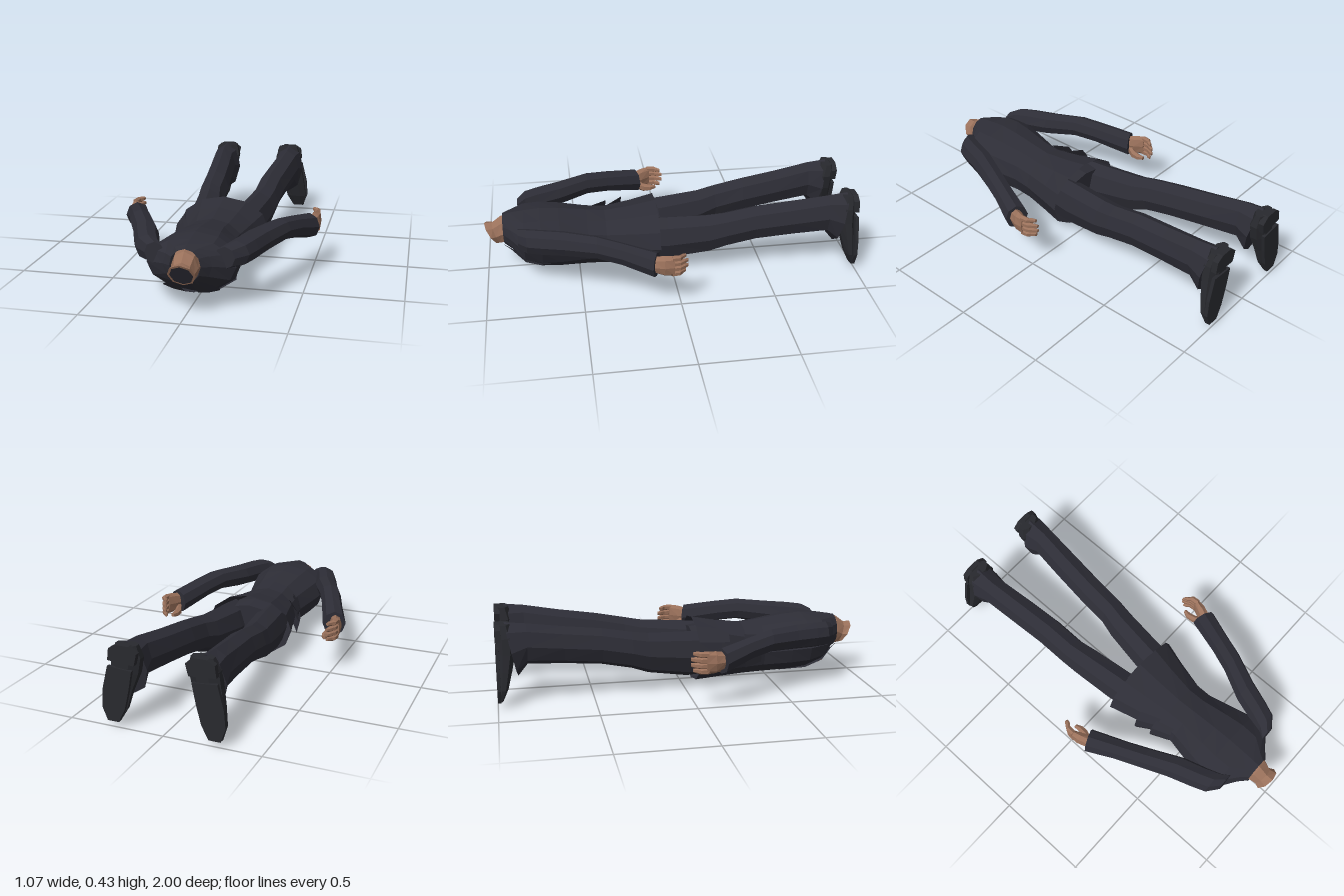
import * as THREE from 'three';

const mat = (name, color) => {
  const m = new THREE.MeshStandardMaterial({ color, flatShading: true, side: THREE.DoubleSide });
  m.name = name;
  return m;
};

// Skin a list of point rows; rows may be closed loops with capped ends
function skin(rows, closed, capStart, capEnd) {
  const n = rows[0].length, pos = rows.flat(2), idx = [];
  for (let r = 0; r + 1 < rows.length; r++)
    for (let i = 0; i < (closed ? n : n - 1); i++) {
      const a = r * n + i, b = r * n + (i + 1) % n;
      idx.push(a, b, a + n, b, b + n, a + n);
    }
  const last = (rows.length - 1) * n;
  for (let i = 1; i + 1 < n; i++) {
    if (capStart) idx.push(0, i + 1, i);
    if (capEnd) idx.push(last, last + i, last + i + 1);
  }
  // Turn the faces outward
  const v = i => new THREE.Vector3(...pos.slice(i * 3, i * 3 + 3));
  let vol = 0;
  if (closed) for (let i = 0; i < idx.length; i += 3) vol += v(idx[i]).dot(v(idx[i + 1]).cross(v(idx[i + 2])));
  if (vol < 0) idx.reverse();
  const g = new THREE.BufferGeometry();
  g.setAttribute('position', new THREE.Float32BufferAttribute(pos, 3));
  g.setIndex(idx);
  g.computeVertexNormals();
  return g;
}

// Ring: [x, y, z, halfWidth, halfHeight, zTilt over height, zTilt over width]
const ringZ = (s, n) => ([x, y, z, a, b, ty = 0, tx = 0]) => Array.from({ length: n }, (_, i) => {
  const t = (i / n) * Math.PI * 2 + Math.PI / 2, c = Math.cos(t), q = Math.sin(t);
  return [s * (x + a * c), y + b * q, z + ty * q + tx * c];
});
// Ring lying flat, for parts that run up and down
const ringY = (s, n) => ([x, y, z, a, b]) => Array.from({ length: n }, (_, i) => {
  const t = ((i + 0.5) / n) * Math.PI * 2;
  return [s * (x + a * Math.cos(t)), y, z + b * Math.sin(t)];
});

// Jacket sections: z, half width, back y, chest y
const BODY = [
  [0.9, 0.075, 0.333, 0.165], [0.86, 0.12, 0.342, 0.14], [0.79, 0.22, 0.35, 0.09],
  [0.7, 0.225, 0.357, 0.052], [0.6, 0.205, 0.35, 0.036], [0.45, 0.17, 0.328, 0.027],
  [0.35, 0.172, 0.315, 0.024], [0.2, 0.21, 0.333, 0.017], [0.07, 0.248, 0.357, 0.01],
];
function surf(z, deg, off = 0) {
  let i = 0;
  while (i < BODY.length - 2 && z < BODY[i + 1][0]) i++;
  const A = BODY[i], B = BODY[i + 1], k = (A[0] - z) / (A[0] - B[0]);
  const [, w, top, bot] = A.map((v, j) => v + (B[j] - v) * k);
  const t = deg * Math.PI / 180;
  return [(w + off) * Math.cos(t), (top + bot) / 2 + ((top - bot) / 2 + off) * Math.sin(t), z];
}

export function createModel() {
  const root = new THREE.Group();
  const suit = mat('dark suit', 0x2d2d36);
  const shoe = mat('shoe black', 0x28292e);
  const flesh = mat('skin', 0x9a715b);
  const add = (name, geo, m) => {
    const mesh = new THREE.Mesh(geo, m);
    mesh.name = name;
    root.add(mesh);
  };
  const loft = (name, m, s, n, rings, c0 = true, c1 = true, ring = ringZ) =>
    add(name, skin(rings.map(ring(s, n)), true, c0, c1), m);
  const panel = (name, m, rows) => add(name, skin(rows.map(r => r.map(p => surf(...p))), false), m);

  // Jacket body, open at the hem and collar
  const turn = Array.from({ length: 12 }, (_, i) => i * 30);
  add('jacket', skin(BODY.map(r => turn.map(d => surf(r[0], d))), true), suit);

  // Overlapping front panel and lapels
  panel('leftFrontPanel', suit, BODY.slice(3).map(r => [-90, -60, -30].map(d => [r[0], d, 0.007])));
  for (const s of [-1, 1])
    panel('lapel', suit, [[0.9, 20, 45], [0.86, 15, 42], [0.79, 8, 38], [0.7, 2, 30], [0.58, 0, 4]]
      .map(([z, a, b]) => [a, (a + b) / 2, b].map(d => [z, -90 + s * d, 0.011])));
  panel('pocketSquare', flesh, [[0.795, 0.012], [0.77, 0.012]].map(([z, o]) => [-128, -120].map(d => [z, d, o])));

  // Loose folds on the right side
  for (const z of [0.24, 0.33])
    panel('sideFold', suit, [[z + 0.1, 0], [z, 0.035]].map(([q, o]) => [140, 160, 180, 200].map(d => [q, d, o])));

  // Hips under the jacket
  loft('hips', suit, 1, 12, [[0, 0.18, 0.32, 0.15, 0.12], [0, 0.185, 0.15, 0.19, 0.13], [0, 0.185, 0.055, 0.19, 0.12]]);

  // Hollow neck with a dark inside
  loft('neck', flesh, 1, 8, [
    [0, 0.25, 0.87, 0.072, 0.08], [0, 0.245, 0.905, 0.066, 0.08, 0.005],
    [0, 0.226, 0.94, 0.056, 0.062, 0.02], [0, 0.228, 0.966, 0.068, 0.06, 0.034],
    [0, 0.226, 0.965, 0.057, 0.052, 0.03]], false, false);
  loft('neckInside', suit, 1, 8, [[0, 0.226, 0.9, 0.04, 0.04], [0, 0.226, 0.962, 0.058, 0.053, 0.03]]);

  for (const s of [-1, 1]) {
    const side = s > 0 ? 'left' : 'right';

    // Sleeve
    loft(side + 'Sleeve', suit, s, 8, [
      [0.17, 0.275, 0.82, 0.05, 0.055], [0.215, 0.283, 0.775, 0.065, 0.066],
      [0.245, 0.287, 0.7, 0.065, 0.068], [0.285, 0.293, 0.58, 0.067, 0.066],
      [0.36, 0.302, 0.42, 0.062, 0.06], [0.408, 0.283, 0.3, 0.06, 0.06],
      [0.477, 0.243, 0.125, 0.058, 0.068, 0, 0.025]]);

    // Palm, curled fingers and thumb
    loft(side + 'Palm', flesh, s, 8, [
      [0.478, 0.245, 0.14, 0.035, 0.045], [0.497, 0.245, 0.09, 0.033, 0.058], [0.511, 0.248, 0.04, 0.02, 0.06]]);
    for (let i = 0; i < 4; i++) {
      const y = 0.291 - i * 0.029, d = [0.012, 0, 0, 0.012][i];
      loft(side + 'Finger', flesh, s, 6, [
        [0.511, y, 0.05, 0.017, 0.017], [0.508, y, 0.01, 0.016, 0.016],
        [0.494, y, -0.015 + d, 0.014, 0.015], [0.483, y, -0.035 + d, 0.008, 0.01]]);
    }
    loft(side + 'Thumb', flesh, s, 6, [
      [0.475, 0.215, 0.12, 0.022, 0.03], [0.455, 0.2, 0.08, 0.02, 0.025],
      [0.45, 0.198, 0.04, 0.018, 0.018], [0.457, 0.2, 0.008, 0.01, 0.012]]);

    // Trouser leg with a slanted cuff
    loft(side + 'TrouserLeg', suit, s, 8, [
      [0.11, 0.185, 0.13, 0.09, 0.12], [0.12, 0.185, 0.02, 0.092, 0.125],
      [0.147, 0.21, -0.2, 0.085, 0.11], [0.162, 0.235, -0.29, 0.078, 0.1],
      [0.168, 0.267, -0.45, 0.078, 0.098], [0.186, 0.291, -0.65, 0.077, 0.1],
      [0.205, 0.313, -0.84, 0.074, 0.108], [0.205, 0.288, -0.92, 0.09, 0.145, -0.03]]);

    // Shoe pointing down to the toe
    loft(side + 'Shoe', shoe, s, 8, [
      [0.195, 0.425, -0.955, 0.06, 0.035], [0.2, 0.36, -0.945, 0.083, 0.05],
      [0.213, 0.28, -0.945, 0.08, 0.05], [0.238, 0.19, -0.955, 0.07, 0.038],
      [0.256, 0.1, -0.967, 0.064, 0.026], [0.266, 0.035, -0.983, 0.037, 0.012]], true, true, ringY);

    // Sole and heel slabs
    const slabs = {
      Sole: [[0.235, 0.03], [0.295, 0.03], [0.322, 0.1], [0.315, 0.19], [0.283, 0.315], [0.155, 0.305], [0.175, 0.2], [0.2, 0.1]],
      Heel: [[0.14, 0.335], [0.28, 0.345], [0.272, 0.405], [0.235, 0.428], [0.165, 0.428], [0.125, 0.395]],
    };
    for (const [name, pts] of Object.entries(slabs)) {
      const shape = new THREE.Shape(pts.map(([x, y]) => new THREE.Vector2(s * x, y)));
      const depth = name === 'Heel' ? 0.03 : 0.018;
      add(side + name, new THREE.ExtrudeGeometry(shape, { depth, bevelEnabled: false }).translate(0, 0, -1), shoe);
    }
  }
  return root;
}
